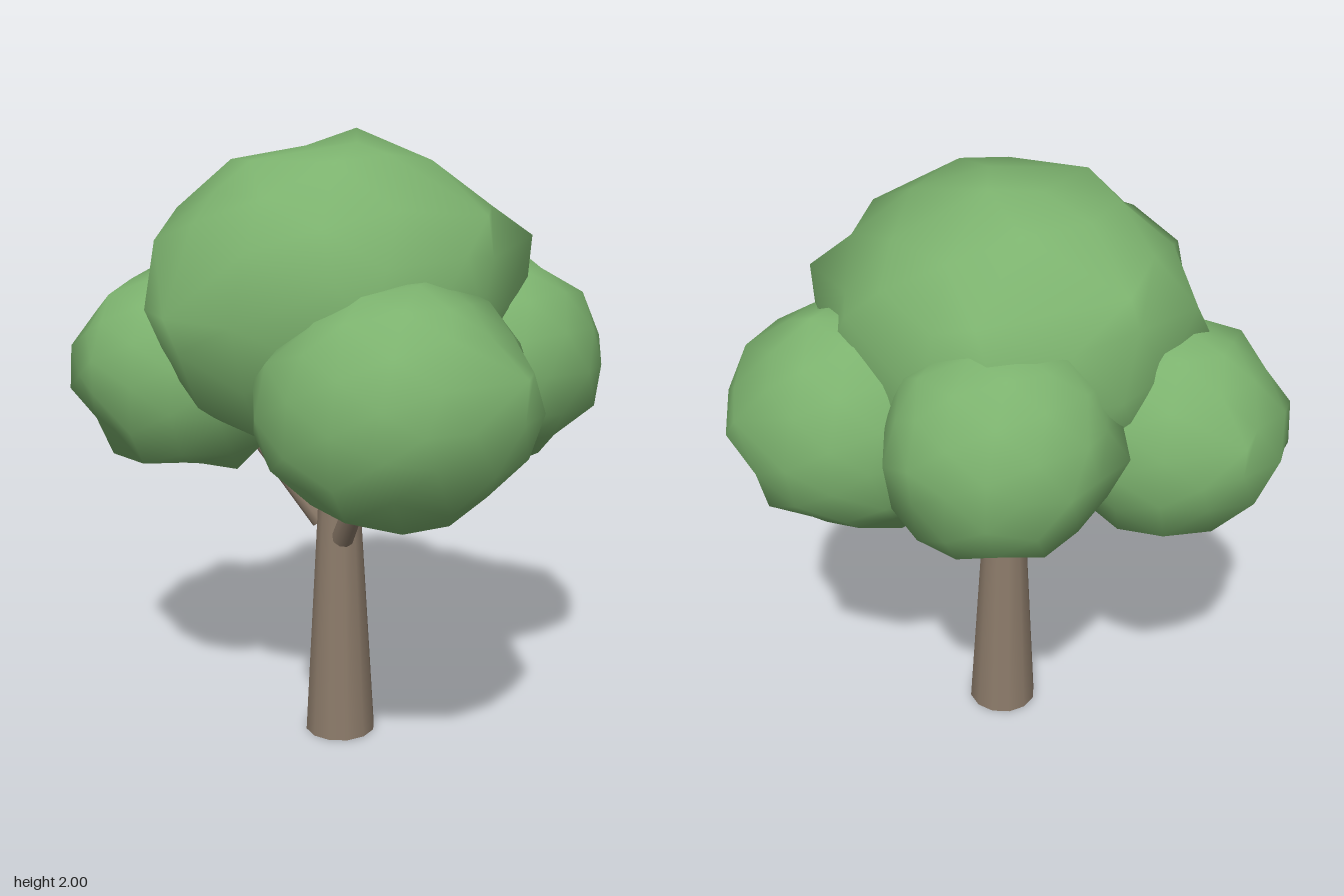
import * as THREE from 'three';

const bark = new THREE.MeshStandardMaterial({ color: 0x8c7b6a, side: THREE.DoubleSide });
bark.name = 'bark brown';
const leaf = new THREE.MeshStandardMaterial({ color: 0x7cb26e });
leaf.name = 'leaf green';

const V = (a) => new THREE.Vector3(...a);

// Repeatable noise from a direction, so shared corners move together
function noise(v, seed) {
  const q = (n) => Math.round(n * 1000);
  const s = Math.sin(q(v.x) * 12.9898 + q(v.y) * 78.233 + q(v.z) * 37.719 + seed * 91.7) * 43758.5453;
  return s - Math.floor(s);
}

// Leaf clump: roughened sphere with its smooth normals kept; tips are pulled-out corners
function clump(name, center, radii, seed, tips = []) {
  const geo = new THREE.IcosahedronGeometry(1, 2);
  const pos = geo.attributes.position;
  const c = V(center), r = V(radii), v = new THREE.Vector3();
  const dirs = [];
  for (let i = 0; i < pos.count; i++) dirs.push(new THREE.Vector3().fromBufferAttribute(pos, i));
  const pulled = tips.map((t) => {
    const at = V(t).sub(c);
    const dir = at.clone().divide(r).normalize();
    const near = dirs.reduce((best, d) => (d.dot(dir) > best.dot(dir) ? d : best));
    return { at, near };
  });
  dirs.forEach((d, i) => {
    const tip = pulled.find((p) => p.near.distanceTo(d) < 0.01);
    if (tip) v.copy(tip.at);
    else v.copy(d).multiply(r).multiplyScalar(0.93 + 0.13 * noise(d, seed));
    pos.setXYZ(i, v.x, v.y, v.z);
  });
  const mesh = new THREE.Mesh(geo, leaf);
  mesh.name = name;
  mesh.position.copy(c);
  return mesh;
}

// Straight branch between two points
function branch(name, from, to) {
  const a = V(from), d = V(to).sub(a);
  const mesh = new THREE.Mesh(new THREE.CylinderGeometry(0.025, 0.038, d.length(), 10), bark);
  mesh.name = name;
  mesh.position.copy(a).addScaledVector(d, 0.5);
  mesh.quaternion.setFromUnitVectors(new THREE.Vector3(0, 1, 0), d.normalize());
  return mesh;
}

export function createModel() {
  const tree = new THREE.Group();
  tree.name = 'tree';

  // Tapered trunk, open at both ends
  const trunk = new THREE.Mesh(new THREE.CylinderGeometry(0.07, 0.118, 0.82, 12, 1, true), bark);
  trunk.name = 'trunk';
  trunk.position.set(-0.02, 0.41, 0.09);
  tree.add(trunk);

  // Branches reaching into the side clumps
  tree.add(
    branch('frontLeftBranch', [0.03, 0.7, 0.12], [0.36, 1.14, 0.25]),
    branch('frontRightBranch', [-0.07, 0.74, 0.12], [-0.34, 1.12, 0.28]),
    branch('backLeftBranch', [0.01, 0.73, 0.04], [0.08, 1.15, -0.24]),
    branch('backRightBranch', [-0.04, 0.75, 0.05], [-0.18, 1.15, -0.08]),
  );

  // Crown
  tree.add(
    clump('topClump', [-0.03, 1.48, 0.11], [0.59, 0.49, 0.59], 1, [
      [-0.13, 2, -0.09], [-0.02, 1.49, 0.76], [0.27, 1.94, 0.15], [0.53, 1.77, 0.0],
      [-0.57, 1.77, 0.05], [-0.02, 1.92, 0.43], [0.43, 1.6, 0.5], [-0.54, 1.5, 0.47],
      [0.05, 1.66, -0.48], [-0.36, 1.72, -0.34], [0.4, 1.68, -0.35],
    ]),
    clump('frontLeftClump', [0.46, 1.245, 0.29], [0.395, 0.365, 0.42], 2,
      [[0.87, 1.37, 0.2], [0.81, 1.16, 0.49], [0.1, 1.2, 0.38]]),
    clump('frontRightClump', [-0.45, 1.23, 0.35], [0.41, 0.345, 0.39], 3,
      [[-0.87, 1.34, 0.25], [-0.43, 1.2, 0.75], [0, 1.14, 0.42]]),
    clump('backLeftClump', [0.18, 1.255, -0.36], [0.39, 0.37, 0.39], 4,
      [[0.23, 1.35, -0.77], [-0.01, 1.28, -0.76]]),
    clump('backRightClump', [-0.35, 1.32, -0.22], [0.35, 0.35, 0.37], 5,
      [[-0.4, 1.4, -0.62], [-0.72, 1.35, -0.2], [-0.53, 1.63, -0.15]]),
  );
  return tree;
}
